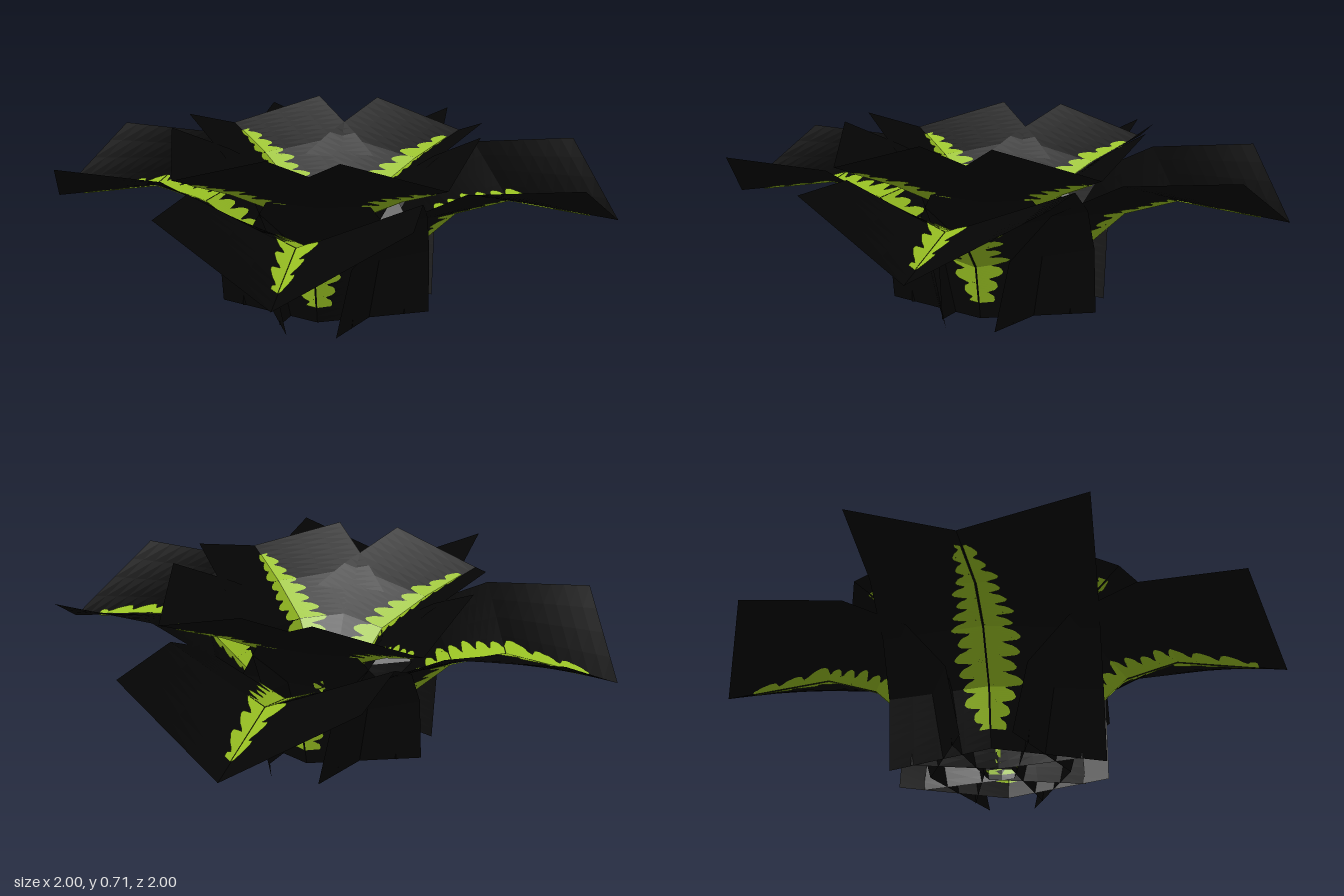
import * as THREE from 'three';

const backing = new THREE.MeshStandardMaterial({ name: 'nearBlack', color: 0x050505, side: THREE.DoubleSide, flatShading: true });
const leafGreen = new THREE.MeshStandardMaterial({ name: 'leafGreen', color: 0x98c022, side: THREE.DoubleSide, flatShading: true });

// Profiles run from base to tip as [distance from centre, height];
// green gives the half-width of the frond at the same stations.
const LARGE = {
  half: 0.411,
  rib: [[0.27, 0], [0.33, 0.22], [0.5, 0.38], [0.7, 0.44], [1.115, 0.38]],
  edge: [[0.093, 0], [0.148, 0.27], [0.3, 0.45], [0.55, 0.57], [0.955, 0.6]],
  green: [[0.02], [0.115], [0.125], [0.08], [0.012]],
  from: 0.3, to: 3.76,
};
const SMALL = {
  half: 0.325,
  rib: [[0.07, 0], [0.12, 0.23], [0.25, 0.41], [0.45, 0.51], [0.69, 0.6]],
  edge: [[-0.13, 0], [-0.1, 0.29], [0.05, 0.47], [0.25, 0.59], [0.505, 0.71]],
  green: [[0.05], [0.085], [0.095], [0.07], [0.012]],
  from: 0.1, to: 3.72,
};

function along(profile, u) {
  const i = Math.min(Math.floor(u), profile.length - 2), f = u - i;
  return profile[i].map((v, k) => v * (1 - f) + profile[i + 1][k] * f);
}

// Point on the folded sheet: u runs along the rib, s across it (-1 to 1).
function sheetPoint(leaf, u, s) {
  const a = along(leaf.rib, u), b = along(leaf.edge, u), w = Math.abs(s);
  return new THREE.Vector3(a[0] + (b[0] - a[0]) * w, a[1] + (b[1] - a[1]) * w, leaf.half * s);
}

function surface(points, index) {
  const g = new THREE.BufferGeometry().setFromPoints(points);
  g.setIndex(index);
  const flat = g.toNonIndexed();
  flat.computeVertexNormals();
  return flat;
}

// Broad sheet folded in a V along the rib
function sheetGeometry(leaf) {
  const points = [], index = [], rows = 32, cols = 8;
  for (let i = 0; i <= rows; i++) {
    for (let j = 0; j <= cols; j++) points.push(sheetPoint(leaf, i / 8, (j * 2) / cols - 1));
  }
  for (let i = 0; i < rows; i++) {
    for (let j = 0; j < cols; j++) {
      const a = i * (cols + 1) + j, b = a + cols + 1;
      index.push(a, a + 1, b, b, a + 1, b + 1);
    }
  }
  return surface(points, index);
}

// Serrated frond that follows the sheet, laid thinly on both of its faces
function frondGeometry(leaf) {
  const points = [], index = [];
  const lobe = [0.5, 0.9, 1, 1.02, 0.96, 0.9, 0.8, 0.6]; // outline of one leaflet
  const steps = 128;
  for (const side of [-1, 1]) {
    for (let i = 0; i < steps; i++) {
      const u0 = (i * 4) / steps, u1 = ((i + 1) * 4) / steps, mid = (u0 + u1) / 2;
      if (mid < leaf.from || mid > leaf.to) continue;
      const shift = i + (side > 0 ? 3 : 0), wobble = 0.93 + 0.1 * Math.sin(Math.floor(shift / 8) * 2.3 + side);
      const reach = (k, u) => (side * along(leaf.green, u)[0] * lobe[k % 8] * wobble) / leaf.half;
      const inner = (side * 0.002) / leaf.half;
      const quad = [
        sheetPoint(leaf, u0, inner), sheetPoint(leaf, u1, inner),
        sheetPoint(leaf, u1, reach(shift + 1, u1)), sheetPoint(leaf, u0, reach(shift, u0)),
      ];
      const normal = new THREE.Vector3().crossVectors(
        quad[2].clone().sub(quad[0]), quad[3].clone().sub(quad[1])).normalize();
      for (const lift of [-0.004, 0.004]) {
        const n = points.length;
        quad.forEach((p) => points.push(p.clone().addScaledVector(normal, lift)));
        index.push(n, n + 1, n + 2, n, n + 2, n + 3);
      }
    }
  }
  return surface(points, index);
}

export function createModel() {
  const model = new THREE.Group();
  model.name = 'fernPlant';
  // Four low spreading leaves and four upright inner ones
  for (const [name, leaf, degrees] of [['outerLeaf', LARGE, 50.4], ['innerLeaf', SMALL, 5]]) {
    const sheet = sheetGeometry(leaf), frond = frondGeometry(leaf);
    for (let k = 0; k < 4; k++) {
      const group = new THREE.Group();
      group.name = name;
      const back = new THREE.Mesh(sheet, backing);
      back.name = 'leafSheet';
      const leaflets = new THREE.Mesh(frond, leafGreen);
      leaflets.name = 'frondLeaflets';
      group.add(back, leaflets);
      group.rotation.y = -THREE.MathUtils.degToRad(degrees + k * 90);
      model.add(group);
    }
  }
  return model;
}
